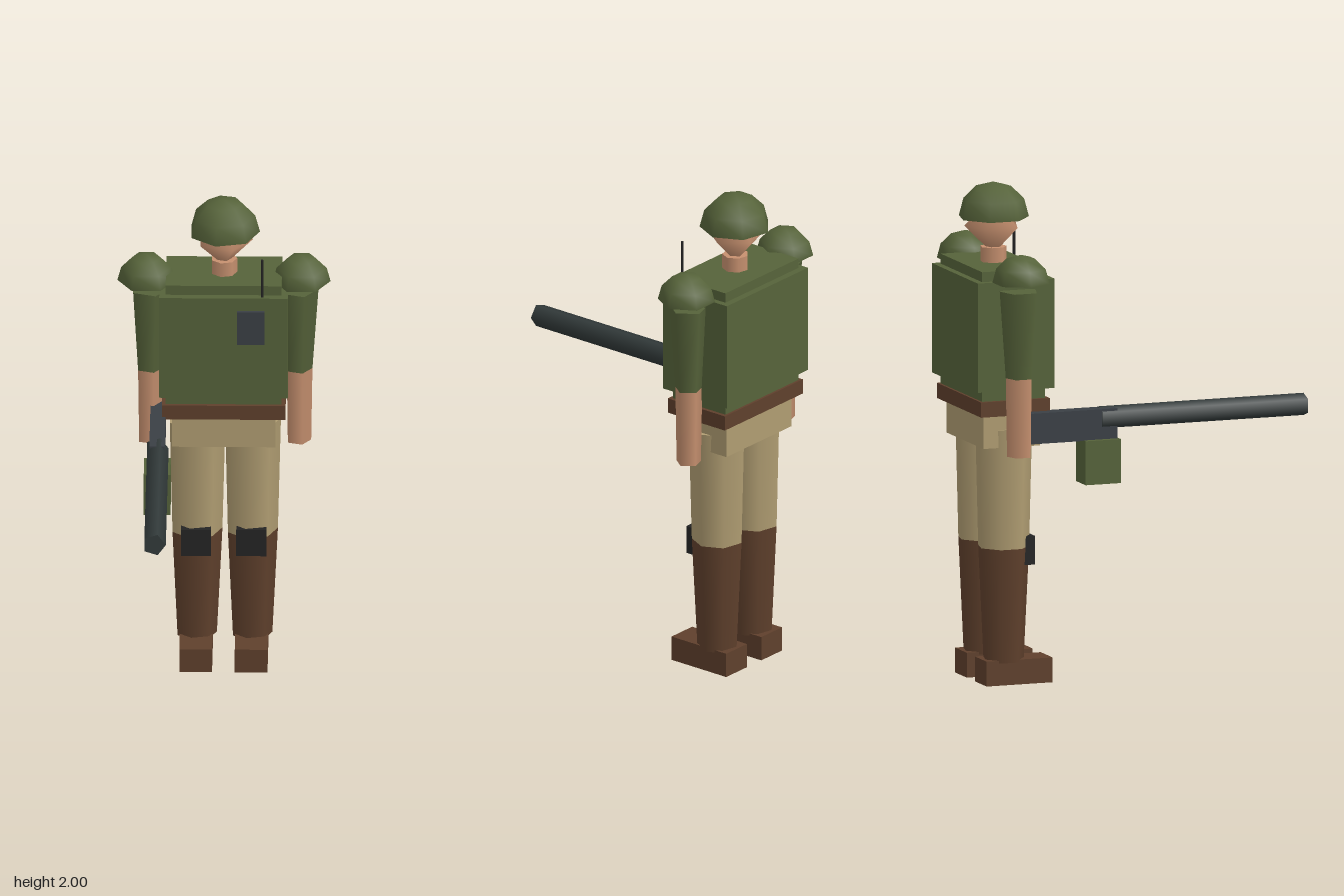
import * as THREE from 'three';

export function createModel() {
  const model = new THREE.Group();
  model.name = 'soldier';
  const mat = (name, color) => {
    const m = new THREE.MeshStandardMaterial({ color });
    m.name = name;
    return m;
  };
  const green = mat('olive green', 0x56633a);
  const tan = mat('tan cloth', 0xb09d72);
  const skin = mat('skin', 0xc6906f);
  const leather = mat('brown leather', 0x5f402c);
  const black = mat('black rubber', 0x242424);
  const steel = mat('blue grey steel', 0x3a3f45);
  const barrelMetal = mat('dark gunmetal', 0x323a3a);

  const Z = -0.53; // body axis

  function add(name, geometry, material, x, y, z) {
    const mesh = new THREE.Mesh(geometry, material);
    mesh.name = name;
    mesh.position.set(x, y, z);
    model.add(mesh);
    return mesh;
  }
  // box given by its low and high limits on each axis
  function box(name, material, [x0, x1], [y0, y1], [z0, z1]) {
    return add(name, new THREE.BoxGeometry(x1 - x0, y1 - y0, z1 - z0), material,
      (x0 + x1) / 2, (y0 + y1) / 2, (z0 + z1) / 2);
  }
  // upright tapered prism with one corner pointing to +x
  function taper(name, material, sides, x, z, y0, r0, y1, r1) {
    return add(name, new THREE.CylinderGeometry(r1, r0, y1 - y0, sides, 1, false, Math.PI / 2),
      material, x, (y0 + y1) / 2, z);
  }
  // half dome closed underneath
  function dome(name, sides, r, x, y) {
    add(name, new THREE.SphereGeometry(r, sides, 3, Math.PI, Math.PI * 2, 0, Math.PI / 2), green, x, y, Z);
    add(name + 'Underside', new THREE.CircleGeometry(r, sides).rotateX(Math.PI / 2), green, x, y, Z);
  }

  // head
  dome('helmet', 7, 0.143, 0, 1.857);
  add('head', new THREE.SphereGeometry(0.115, 5, 2, Math.PI), skin, 0, 1.823, Z);
  taper('neck', skin, 7, 0, Z, 1.66, 0.053, 1.74, 0.053);

  // torso
  box('torso', green, [-0.23, 0.23], [1.15, 1.68], [-0.665, -0.398]);
  box('vest', green, [-0.255, 0.255], [1.2, 1.64], [-0.693, -0.367]);
  box('belt', leather, [-0.245, 0.245], [1.097, 1.158], [-0.675, -0.383]);
  box('hips', tan, [-0.205, 0.205], [0.963, 1.1], [-0.65, -0.41]);

  // radio on the chest
  box('radio', steel, [0.053, 0.163], [1.442, 1.585], [-0.375, -0.354]);
  taper('antenna', black, 5, 0.153, -0.382, 1.56, 0.006, 1.803, 0.006);

  // limbs
  for (const [side, s] of [['right', -1], ['left', 1]]) {
    const ax = s * 0.295, lx = s * 0.11;
    dome(side + 'ShoulderPad', 6, 0.115, s * 0.308, 1.64);
    taper(side + 'Sleeve', green, 5, ax, Z, 1.256, 0.056, 1.605, 0.08);
    taper(side + 'Forearm', skin, 5, ax, Z, 0.94, 0.051, 1.256, 0.056);
    taper(side + 'Thigh', tan, 7, lx, Z, 0.55, 0.104, 1.035, 0.116);
    taper(side + 'BootShaft', leather, 7, lx, Z, 0.09, 0.082, 0.55, 0.104);
    box(side + 'Shoe', leather, [lx - 0.065, lx + 0.065], [0, 0.1], [-0.625, -0.345]);
    box(side + 'KneePad', black, [lx - 0.06, lx + 0.06], [0.478, 0.593], [-0.468, -0.417]);
  }

  // gun held along the right hip
  box('gunBody', steel, [-0.291, -0.23], [0.985, 1.108], [-0.52, -0.114]);
  box('magazine', green, [-0.313, -0.207], [0.81, 0.987], [-0.257, -0.107]);
  add('barrel', new THREE.CylinderGeometry(0.047, 0.047, 0.873, 5, 1, false, Math.PI / 2)
    .rotateX(Math.PI / 2), barrelMetal, -0.262, 1.068, 0.2565);

  return model;
}
